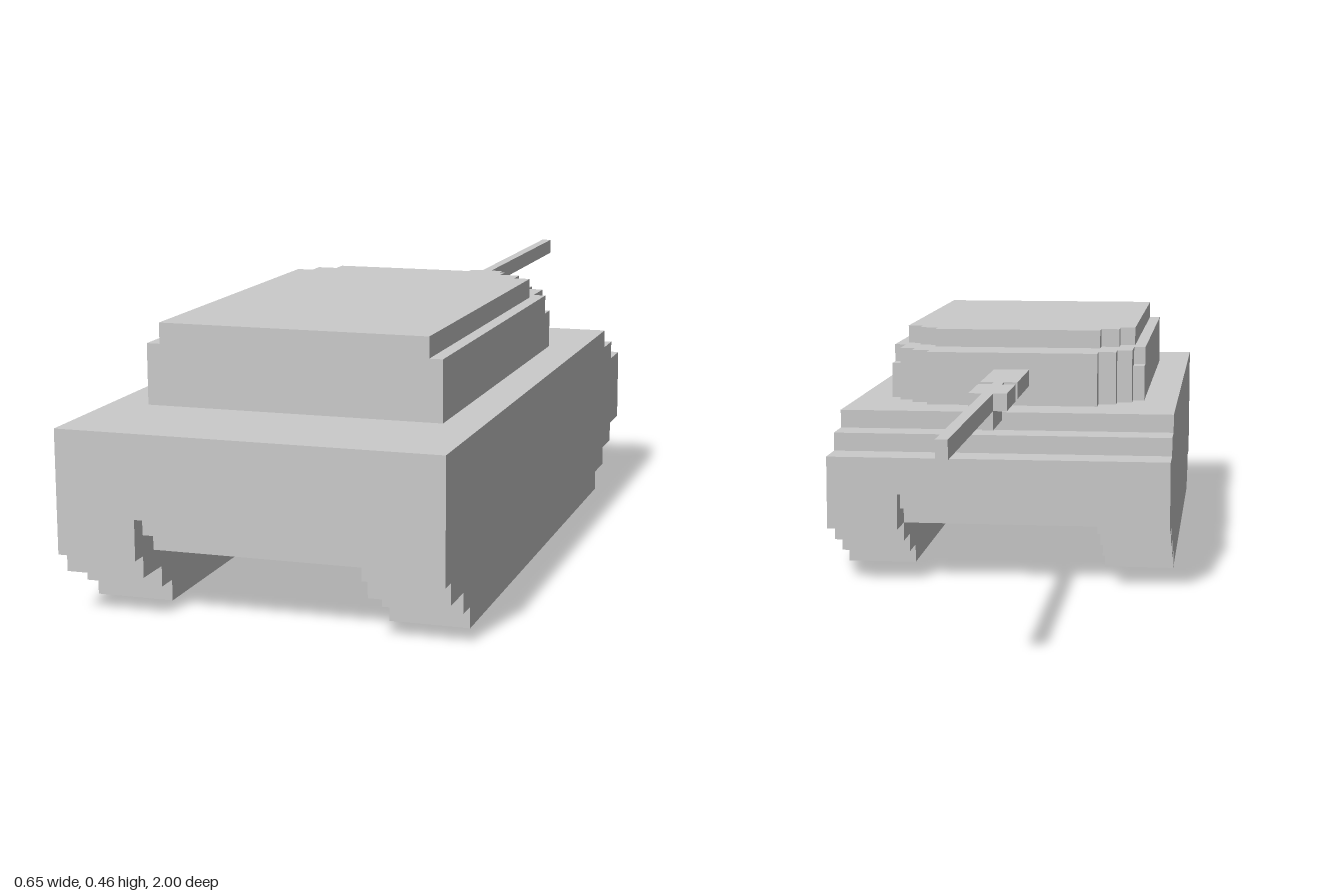
import * as THREE from 'three';

const material = new THREE.MeshStandardMaterial({ color: 0xcccccc, flatShading: true });

function addMesh(parent, name, geometry) {
  const mesh = new THREE.Mesh(geometry, material);
  mesh.name = name;
  parent.add(mesh);
  return mesh;
}

function extrude(points, depth) {
  const shape = new THREE.Shape(points.map(([a, b]) => new THREE.Vector2(a, b)));
  return new THREE.ExtrudeGeometry(shape, { depth, bevelEnabled: false });
}

// Side profile of [z, y] points, extruded across x0..x1
function sideSlab(parent, name, profile, x0, x1) {
  const g = extrude(profile, x1 - x0);
  g.rotateY(-Math.PI / 2).translate(x1, 0, 0);
  return addMesh(parent, name, g);
}

// Mirrored plan from half-outline [x, z] points, extruded over y0..y1
function planSlab(parent, name, half, y0, y1) {
  const right = half.map(([x, z]) => [x, -z]);
  const left = right.map(([x, y]) => [-x, y]).reverse();
  const g = extrude([...right, ...left], y1 - y0);
  g.rotateX(-Math.PI / 2).translate(0, y0, 0);
  return addMesh(parent, name, g);
}

function box(parent, name, halfWidth, y0, y1, z0, z1) {
  const g = new THREE.BoxGeometry(halfWidth * 2, y1 - y0, z1 - z0);
  g.translate(0, (y0 + y1) / 2, (z0 + z1) / 2);
  return addMesh(parent, name, g);
}

export function createModel() {
  const model = new THREE.Group();
  model.name = 'tank';

  // Stepped deck shared by the hull and the track units
  const deck = [
    [1, 0.315], [-0.155, 0.315], [-0.155, 0.28], [-0.225, 0.28],
    [-0.225, 0.245], [-0.3, 0.245],
  ];
  const trackBottom = [
    [-0.3, 0.107], [-0.225, 0.107], [-0.225, 0.071], [-0.155, 0.071],
    [-0.155, 0.036], [-0.085, 0.036], [-0.085, 0], [0.86, 0],
    [0.86, 0.036], [0.9, 0.036], [0.9, 0.071], [0.97, 0.071],
    [0.97, 0.107], [1, 0.107],
  ];
  const hullBottom = [
    [-0.3, 0.175], [-0.265, 0.175], [-0.265, 0.142], [-0.225, 0.142],
    [-0.225, 0.107], [0.93, 0.107], [0.93, 0.142], [0.97, 0.142],
    [0.97, 0.175], [1, 0.175],
  ];
  sideSlab(model, 'hull', [...deck, ...hullBottom], -0.19, 0.19);
  sideSlab(model, 'leftTrack', [...deck, ...trackBottom], 0.19, 0.325);
  sideSlab(model, 'rightTrack', [...deck, ...trackBottom], -0.325, -0.19);

  // Turret in three layers with stepped corners at the gun end
  const turret = new THREE.Group();
  turret.name = 'turret';
  model.add(turret);
  const corner = [
    [0.235, 0.015], [0.205, 0.015], [0.205, -0.02],
    [0.17, -0.02], [0.17, -0.055],
  ];
  const wall = (z) => [[0.258, 0.787], [0.258, z], [0.235, z], ...corner];
  planSlab(turret, 'turretBase', wall(0.052), 0.315, 0.385);
  planSlab(turret, 'turretRim', wall(0.088), 0.385, 0.42);
  planSlab(turret, 'turretRoof', [
    [0.235, 0.787], [0.235, 0.122], [0.205, 0.122], [0.205, 0.085],
    [0.168, 0.085], [0.168, 0.052],
  ], 0.42, 0.456);

  // Gun
  const gun = new THREE.Group();
  gun.name = 'gun';
  model.add(gun);
  box(gun, 'barrel', 0.01, 0.355, 0.387, -1, -0.05);
  box(gun, 'barrelSleeve', 0.035, 0.355, 0.387, -0.265, -0.05);
  box(gun, 'boreEvacuator', 0.035, 0.355, 0.387, -0.437, -0.3);
  box(gun, 'boreEvacuatorKeel', 0.01, 0.32, 0.355, -0.437, -0.3);

  return model;
}
